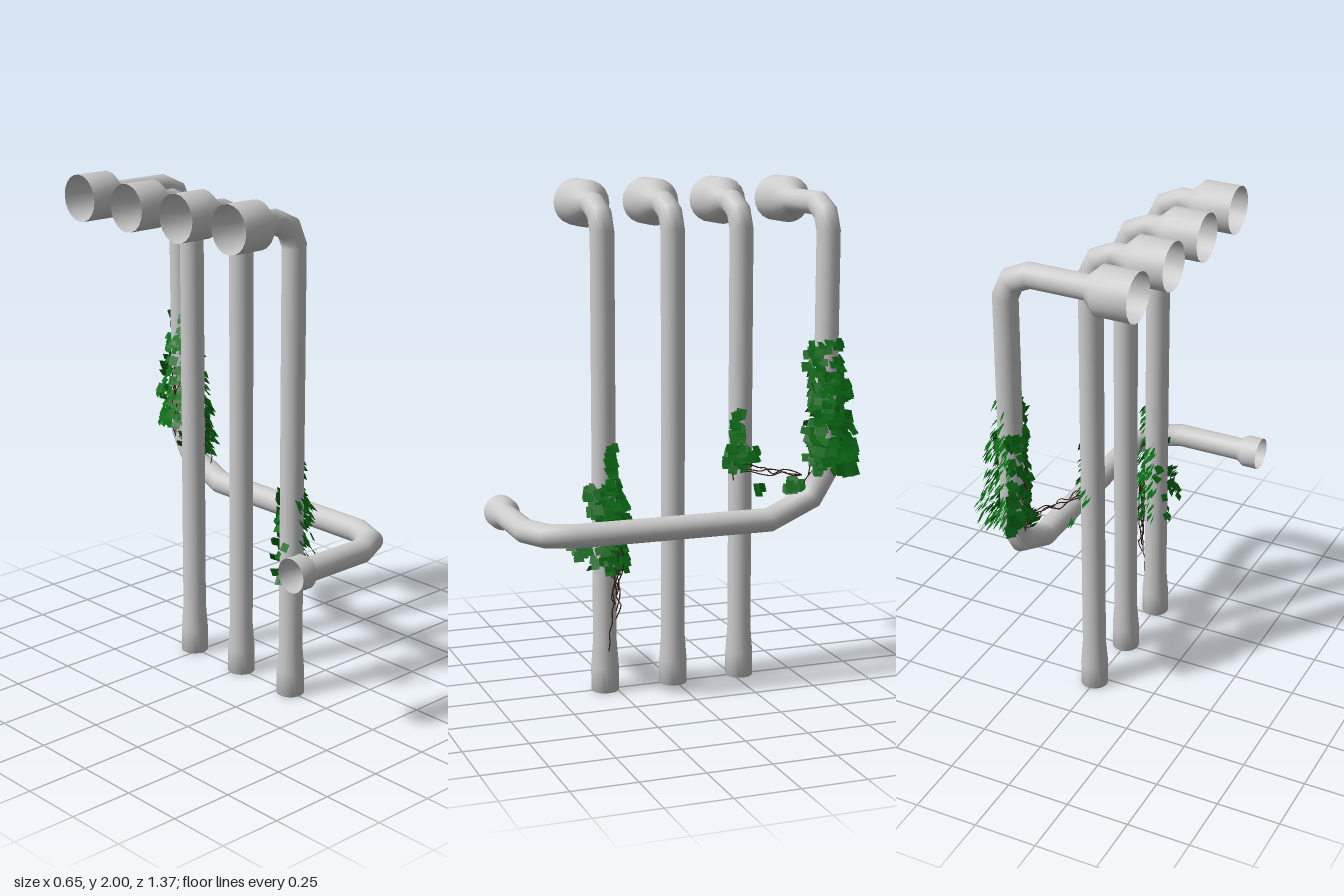
import * as THREE from 'three';
import { mergeGeometries } from 'three/addons/utils/BufferGeometryUtils.js';

const V = (x, y, z) => new THREE.Vector3(x, y, z);
const R = 0.047;
const SIDES = 20;

let seed = 7;
function rnd() {
  seed = (seed * 16807) % 2147483647;
  return seed / 2147483647;
}
const spread = (s) => (rnd() * 2 - 1) * s;

// Sweep of mitred rings through stations [x, y, z, radius]
function pipeGeometry(stations, capEnd) {
  const pts = stations.map((s) => V(s[0], s[1], s[2]));
  const n = pts.length;
  const pos = [], idx = [];
  const dirs = pts.slice(1).map((p, i) => p.clone().sub(pts[i]).normalize());
  let side = Math.abs(dirs[0].y) > 0.9 ? V(1, 0, 0) : V(0, 1, 0);
  pts.forEach((p, i) => {
    const a = dirs[Math.max(i - 1, 0)], b = dirs[Math.min(i, n - 2)];
    const t = a.clone().add(b).normalize();
    const stretch = 1 / t.dot(a);
    side.addScaledVector(t, -side.dot(t)).normalize();
    const other = t.clone().cross(side);
    const bend = b.clone().sub(a);
    const bent = bend.length() > 1e-4;
    if (bent) bend.normalize();
    for (let k = 0; k < SIDES; k++) {
      const ang = (k / SIDES) * Math.PI * 2;
      const o = side.clone().multiplyScalar(Math.cos(ang)).addScaledVector(other, Math.sin(ang));
      if (bent) o.addScaledVector(bend, o.dot(bend) * (stretch - 1));
      o.multiplyScalar(stations[i][3]).add(p);
      pos.push(o.x, o.y, o.z);
      if (i < n - 1) {
        const q = i * SIDES + k, r = i * SIDES + ((k + 1) % SIDES);
        idx.push(q, r, q + SIDES, r, r + SIDES, q + SIDES);
      }
    }
  });
  if (capEnd) {
    const e = pts[n - 1], base = (n - 1) * SIDES;
    pos.push(e.x, e.y, e.z);
    for (let k = 0; k < SIDES; k++) idx.push(base + k, base + ((k + 1) % SIDES), n * SIDES);
  }
  const g = new THREE.BufferGeometry();
  g.setAttribute('position', new THREE.Float32BufferAttribute(pos, 3));
  g.setIndex(idx);
  g.computeVertexNormals();
  return g;
}

// Wide open socket, elbow and the start of a vertical run at x
const topRun = (x, z) => [
  [-0.325, 1.91, z, 0.093], [-0.185, 1.91, z, 0.093], [-0.135, 1.91, z, R],
  [x - 0.1, 1.91, z, R], [x - 0.03, 1.877, z, R], [x, 1.81, z, R],
];

// Square leaves scattered in a box and pushed clear of the pipe axis
function leaves([cx, cy, cz, sx, sy, sz, count], axis) {
  const out = [];
  for (let i = 0; i < count; i++) {
    const h = spread(1);
    const taper = 1 - 0.45 * Math.max(h, 0);
    const p = V(cx + spread(sx) * taper, cy + h * sy, cz + spread(sz) * taper);
    let dx = p.x - axis[0], dz = p.z - axis[1];
    const d = Math.hypot(dx, dz) || 1;
    dx /= d;
    dz /= d;
    if (d < R + 0.008) {
      p.x = axis[0] + dx * (R + 0.008);
      p.z = axis[1] + dz * (R + 0.008);
    }
    const facing = V(dx < -0.4 ? -0.8 : 0.8, 0.5 + spread(0.2), dz * 0.3 + spread(0.2));
    const size = 0.03 + rnd() * 0.012;
    const g = new THREE.PlaneGeometry(size, size);
    g.rotateZ(spread(0.25));
    g.applyMatrix4(new THREE.Matrix4().lookAt(facing, V(0, 0, 0), V(0, 1, 0)));
    g.translate(p.x, p.y, p.z);
    out.push(g);
  }
  return out;
}

// Wavering stem between two points
function stem(from, to, wobble) {
  const pts = [];
  for (let i = 0; i <= 7; i++) {
    const w = i === 0 || i === 7 ? 0 : wobble;
    pts.push(V(...from).lerp(V(...to), i / 7).add(V(spread(w) * 0.5, spread(w), spread(w))));
  }
  return new THREE.TubeGeometry(new THREE.CatmullRomCurve3(pts), 18, 0.0025, 4);
}

export function createModel() {
  const group = new THREE.Group();
  const grey = new THREE.MeshStandardMaterial({ color: 0xcccccc, side: THREE.DoubleSide });
  const green = new THREE.MeshStandardMaterial({ color: 0x0b6b16, side: THREE.DoubleSide });
  const brown = new THREE.MeshStandardMaterial({ color: 0x3a2018 });
  const add = (name, geometry, material) => {
    const m = new THREE.Mesh(geometry, material);
    m.name = name;
    group.add(m);
  };

  // Three straight downpipes with flared feet
  const x = 0.004;
  [['frontDownpipe', 0.295], ['middleDownpipe', 0.008], ['rearDownpipe', -0.278]].forEach(([name, z]) => {
    add(name, pipeGeometry([...topRun(x, z), [x, 0.2, z, R], [x, 0.1, z, 0.055], [x, 0, z, 0.055]], true), grey);
  });

  // Long pipe turning forward, then back to a small open socket
  const y = 0.683;
  add('crossingPipe', pipeGeometry([
    ...topRun(0.195, -0.563),
    [0.195, 0.855, -0.56, R], [0.195, 0.762, -0.503, R], [0.195, y, -0.325, R],
    [0.195, y, 0.47, R], [0.15, y, 0.575, R], [0.043, y, 0.627, R],
    [-0.23, y, 0.627, R], [-0.26, y, 0.627, 0.066], [-0.325, y, 0.627, 0.066],
  ], false), grey);

  // Ivy foliage: [centre, half extents, leaf count] per clump
  const front = [x, 0.295], rear = [x, -0.278], corner = [0.195, -0.563];
  const plants = {
    frontIvyLeaves: [front, [
      [0.03, 0.72, 0.285, 0.05, 0.11, 0.07, 100], [0.055, 0.92, 0.28, 0.008, 0.09, 0.015, 22],
      [0.03, 0.55, 0.27, 0.05, 0.06, 0.06, 40], [-0.02, 0.57, 0.38, 0.05, 0.035, 0.03, 16],
      [0, 0.615, 0.44, 0.02, 0.02, 0.03, 8], [0.05, 0.68, 0.21, 0.02, 0.02, 0.02, 6],
      [0.01, 0.81, 0.35, 0.03, 0.02, 0.02, 8],
    ]],
    rearIvyLeaves: [rear, [
      [0.045, 0.91, -0.245, 0.035, 0.045, 0.055, 32], [0.05, 1.02, -0.25, 0.015, 0.075, 0.02, 20],
      [0.01, 0.9, -0.34, 0.02, 0.03, 0.015, 6], [0.06, 0.785, -0.34, 0.01, 0.02, 0.012, 4],
    ]],
    cornerIvyLeaves: [corner, [
      [0.215, 1.07, -0.57, 0.075, 0.19, 0.085, 290], [0.2, 1.29, -0.55, 0.055, 0.09, 0.07, 50],
      [0.205, 0.92, -0.58, 0.075, 0.06, 0.085, 50], [0.28, 0.94, -0.63, 0.03, 0.05, 0.04, 14],
      [0.2, 0.82, -0.43, 0.035, 0.025, 0.03, 14],
    ]],
  };
  for (const [name, [axis, clumps]] of Object.entries(plants)) {
    add(name, mergeGeometries(clumps.flatMap((c) => leaves(c, axis))), green);
  }

  // Bare stems: climbing strands and the trailing link between two plants
  const stems = [stem([0.054, 0.17, 0.295], [0.056, 0.45, 0.27], 0.006)];
  for (let i = 0; i < 6; i++) {
    stems.push(stem([0.055, 0.3 + 0.03 * i, 0.265], [0.055, 0.65 + spread(0.08), 0.27 + spread(0.04)], 0.018));
    stems.push(stem([0.15, 0.84, -0.53 + spread(0.03)], [0.145, 1.1 + spread(0.1), -0.56 + spread(0.04)], 0.018));
  }
  for (let i = 0; i < 3; i++) {
    stems.push(stem([0.18, 0.85, -0.47], [0.055, 0.85 + 0.015 * i, -0.26], 0.013));
  }
  stems.push(stem([0.2, 0.72, -0.41], [0.18, 0.87, -0.52], 0.01));
  stems.push(stem([0.055, 0.82, -0.23], [0.055, 1.05, -0.25], 0.01));
  add('ivyStems', mergeGeometries(stems), brown);

  return group;
}
